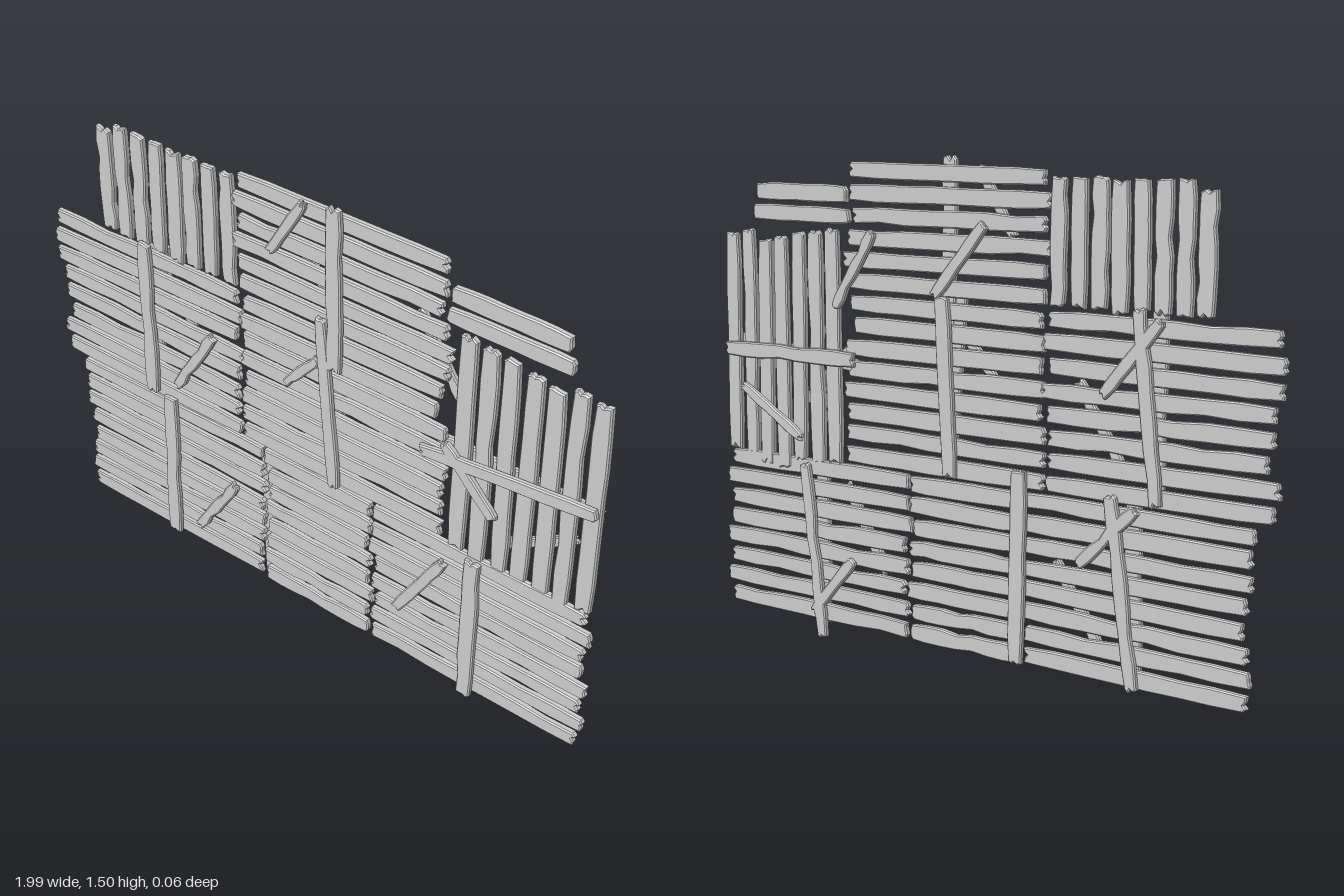
import * as THREE from 'three';

// Seeded random in 0..1
let seed = 7;
const rnd = () => {
  seed = (seed * 16807) % 2147483647;
  return seed / 2147483647;
};
const jitter = (a) => (rnd() * 2 - 1) * a;

const material = new THREE.MeshStandardMaterial({ color: 0xcccccc, flatShading: true });

// A worn board from (x0, y0) to (x1, y1): wavering edges, ragged ends, chamfered rim
function board(name, x0, y0, x1, y1, width, z, thick) {
  const bevel = 0.004;
  const len = Math.hypot(x1 - x0, y1 - y0), hl = len / 2 - bevel, hw = width / 2 - bevel;
  const steps = 7, pts = [];
  const notch = Math.floor(rnd() * steps * 2);
  const edge = (side) => {
    for (let i = 0; i <= steps; i++) {
      const t = (i / steps) * 2 - 1;
      const corner = i === 0 || i === steps;
      const dent = i === notch ? 0.006 : 0;
      const x = t * (hl - (corner ? rnd() * 0.01 : 0));
      const y = hw - rnd() * 0.003 - (corner ? 0.003 : dent);
      pts.push(new THREE.Vector2(x * side, -y * side));
    }
  };
  const end = (side) => {
    pts.push(new THREE.Vector2(side * (hl - rnd() * 0.006), -side * hw * 0.4));
    pts.push(new THREE.Vector2(side * (hl - rnd() * 0.016), side * hw * 0.1));
    pts.push(new THREE.Vector2(side * (hl - rnd() * 0.004), side * hw * 0.5));
  };
  edge(1);
  end(1);
  edge(-1);
  end(-1);
  const geo = new THREE.ExtrudeGeometry(new THREE.Shape(pts), {
    depth: thick - 2 * bevel, bevelEnabled: true, bevelThickness: bevel, bevelSize: bevel, bevelSegments: 1,
  });
  geo.translate(0, 0, bevel - thick / 2);
  const mesh = new THREE.Mesh(geo, material);
  mesh.name = name;
  mesh.position.set((x0 + x1) / 2, (y0 + y1) / 2, z);
  mesh.rotation.z = Math.atan2(y1 - y0, x1 - x0);
  return mesh;
}

// Stack of horizontal planks, one [left, right] pair per row, from the top down
function rows(name, top, pitch, spans) {
  const group = new THREE.Group();
  group.name = name;
  spans.forEach(([a, b], i) => {
    const y = top - i * pitch, tilt = jitter(0.003);
    group.add(board('plank', a, y + tilt, b, y - tilt, 0.056 + jitter(0.003), -0.001 + jitter(0.002), 0.021));
  });
  return group;
}

// Run of upright planks, one [bottom, top] pair per column, from left to right
function columns(name, start, pitch, spans) {
  const group = new THREE.Group();
  group.name = name;
  spans.forEach(([a, b], i) => {
    const x = start + i * pitch, tilt = jitter(0.003);
    group.add(board('plank', x - tilt, a, x + tilt, b, 0.057 + jitter(0.003), -0.001 + jitter(0.002), 0.021));
  });
  return group;
}

function battens(name, z, thick, list) {
  const group = new THREE.Group();
  group.name = name;
  for (const [x0, y0, x1, y1, w] of list) group.add(board('batten', x0, y0, x1, y1, w, z, thick));
  return group;
}

export function createModel() {
  seed = 7;
  const model = new THREE.Group();
  model.name = 'plankWall';

  // Upper panels
  model.add(columns('upperLeftPanel', -0.755, 0.0665, [
    [1.1, 1.44], [1.1, 1.465], [1.1, 1.465], [1.1, 1.46],
    [1.09, 1.455], [1.1, 1.465], [1.1, 1.46], [1.1, 1.46],
  ]));
  model.add(rows('centrePanel', 1.455, 0.0658, [
    [-0.25, 0.46], [-0.27, 0.465], [-0.25, 0.45], [-0.27, 0.47], [-0.25, 0.49], [-0.25, 0.48], [-0.24, 0.46],
    [-0.25, 0.45], [-0.24, 0.48], [-0.25, 0.47], [-0.235, 0.49], [-0.25, 0.48], [-0.25, 0.48], [-0.25, 0.48],
  ]));
  model.add(rows('upperRightPanel', 1.382, 0.065, [[0.47, 0.835], [0.46, 0.85]]));

  // Middle panels
  model.add(rows('middleLeftPanel', 1.065, 0.0662, [
    [-0.98, -0.255], [-0.995, -0.24], [-0.99, -0.26], [-0.97, -0.235],
    [-0.97, -0.255], [-0.95, -0.255], [-0.985, -0.255], [-0.97, -0.25],
  ]));
  model.add(columns('middleRightPanel', 0.533, 0.0685, [
    [0.56, 1.28], [0.55, 1.27], [0.55, 1.265], [0.52, 1.25], [0.525, 1.235], [0.55, 1.265], [0.56, 1.25],
  ]));

  // Lower panels
  model.add(rows('lowerLeftPanel', 0.542, 0.0652, [
    [-0.92, -0.17], [-0.91, -0.165], [-0.915, -0.16], [-0.9, -0.17],
    [-0.89, -0.165], [-0.905, -0.17], [-0.915, -0.18], [-0.905, -0.18],
  ]));
  model.add(rows('lowerCentrePanel', 0.536, 0.0652, [
    [-0.17, 0.235], [-0.155, 0.24], [-0.155, 0.225], [-0.165, 0.24],
    [-0.155, 0.235], [-0.165, 0.25], [-0.17, 0.235], [-0.165, 0.24],
  ]));
  model.add(rows('lowerRightPanel', 0.538, 0.0652, [
    [0.24, 0.965], [0.24, 0.985], [0.23, 0.97], [0.25, 0.97],
    [0.24, 0.99], [0.255, 0.975], [0.24, 0.995], [0.25, 0.975],
  ]));

  // Front battens: uprights and a crossbar, then short diagonals
  model.add(battens('frontBattens', 0.0185, 0.019, [
    [0.1, 1.505, 0.105, 0.98, 0.056], [0.055, 1.14, 0.11, 0.565, 0.045],
    [-0.605, 1.12, -0.6, 0.585, 0.056], [-0.53, 0.595, -0.535, 0.06, 0.056],
    [0.6, 0.555, 0.6, 0.035, 0.058], [0.405, 0.86, 0.967, 0.915, 0.045],
    [0.0, 1.48, -0.125, 1.28, 0.036], [0.05, 1.0, -0.07, 0.86, 0.036],
    [-0.345, 0.9, -0.5, 0.65, 0.04], [-0.27, 0.38, -0.43, 0.135, 0.04],
    [0.505, 0.5, 0.345, 0.235, 0.04], [0.48, 0.92, 0.66, 0.735, 0.04],
  ]));

  // Back battens
  model.add(battens('backBattens', -0.0205, 0.019, [
    [0.435, 0.89, 0.965, 0.885, 0.052], [0.105, 1.105, 0.076, 0.575, 0.054],
    [-0.56, 1.12, -0.62, 0.58, 0.048], [0.64, 0.555, 0.575, 0.0, 0.046],
    [-0.17, 0.63, -0.16, 0.055, 0.056], [-0.475, 0.6, -0.555, 0.05, 0.048],
    [0.9, 0.775, 0.65, 0.625, 0.036], [0.36, 1.28, 0.51, 1.04, 0.04],
    [-0.05, 1.32, 0.136, 1.1, 0.04], [-0.63, 1.09, -0.445, 0.87, 0.04],
    [0.45, 0.27, 0.615, 0.08, 0.04], [-0.56, 0.57, -0.37, 0.385, 0.04],
  ]));

  return model;
}
